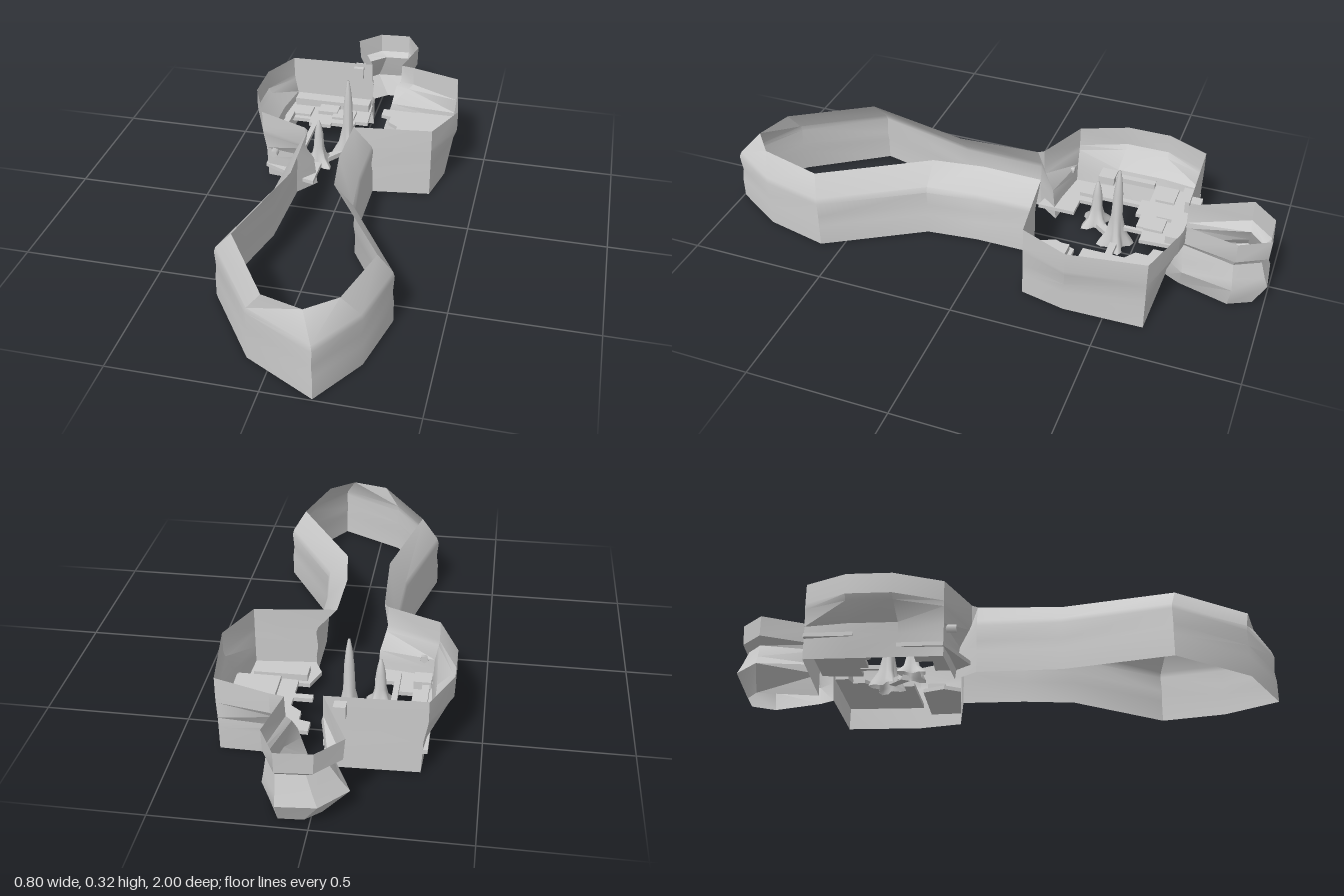
import * as THREE from 'three';
import { toCreasedNormals } from 'three/addons/utils/BufferGeometryUtils.js';

const material = new THREE.MeshStandardMaterial({ color: 0xcccccc, side: THREE.DoubleSide });

function add(group, name, geometry) {
  const mesh = new THREE.Mesh(geometry, material);
  mesh.name = name;
  group.add(mesh);
  return mesh;
}

// Canyon wall: closed loop of stations, each blended from a foot point to a rim point
const levels = [0, 0.08, 0.12, 0.18, 0.2, 0.275];
const corridor = [0, 0, 0.08, 0, 0.1, 1];
const chamber = [0, 0.18, 0.27, 0.85, 1, 1];
const alcove = [0, 1.2, 0.8, 0.3, 0.9, 1];

// Each row: foot x, foot z, rim x, rim z
const stretches = [
  [corridor, [
    [0.165, 0.995, 0.12, 0.92], [0.28, 0.81, 0.215, 0.84], [0.333, 0.58, 0.28, 0.605],
    [0.13, 0.24, 0.055, 0.24], [0.11, 0.055, 0.03, 0.055], [0.11, -0.17, 0.035, -0.165]]],
  [chamber, [
    [0.325, -0.2, 0.325, -0.2], [0.36, -0.36, 0.398, -0.37], [0.355, -0.64, 0.36, -0.64],
    [0.06, -0.645, 0.17, -0.7]]],
  [alcove, [
    [0.09, -0.7, 0.12, -0.71], [0.14, -0.88, 0.157, -0.89], [0.1, -0.96, 0.1, -0.995],
    [0.02, -0.955, -0.02, -0.985], [-0.03, -0.91, -0.1, -0.9], [0.01, -0.69, 0, -0.69]]],
  [chamber, [
    [-0.31, -0.68, -0.33, -0.68], [-0.31, -0.53, -0.4, -0.53], [-0.31, -0.35, -0.4, -0.37],
    [-0.31, -0.2, -0.33, -0.2], [-0.11, -0.18, -0.14, -0.12]]],
  [corridor, [
    [-0.17, -0.1, -0.125, -0.1], [-0.178, 0.2, -0.11, 0.2], [-0.27, 0.58, -0.2, 0.6],
    [-0.08, 0.86, -0.02, 0.88]]],
];

function wallGeometry() {
  const stations = stretches.flatMap(([profile, rows]) => rows.map((row) => [profile, row]));
  const positions = [], indices = [], n = levels.length;
  for (const [profile, [bx, bz, tx, tz]] of stations) {
    levels.forEach((y, k) => {
      const t = profile[k];
      positions.push(bx + (tx - bx) * t, y, bz + (tz - bz) * t);
    });
  }
  for (let i = 0; i < stations.length; i++) {
    const next = (i + 1) % stations.length;
    for (let k = 0; k < n - 1; k++) {
      const a = i * n + k, b = next * n + k;
      indices.push(a, b, b + 1, a, b + 1, a + 1);
    }
  }
  const geometry = new THREE.BufferGeometry();
  geometry.setAttribute('position', new THREE.Float32BufferAttribute(positions, 3));
  geometry.setIndex(indices);
  return toCreasedNormals(geometry, 0.5);
}

// Horizontal slab cut from an x/z outline, its top at the given height
function plate(group, name, outline, top, thickness = 0.015) {
  const shape = new THREE.Shape(outline.map(([x, z]) => new THREE.Vector2(x, -z)));
  const geometry = new THREE.ExtrudeGeometry(shape, { depth: thickness, bevelEnabled: false });
  geometry.rotateX(-Math.PI / 2).translate(0, top - thickness, 0);
  return add(group, name, geometry);
}

const rect = (x0, x1, z0, z1) => [[x0, z0], [x1, z0], [x1, z1], [x0, z1]];

// Rock spire with a star-shaped foot fading into a round needle
function spireGeometry(height) {
  const profile = [[0.05, 0], [0.045, 0.06], [0.03, 0.18], [0.021, 0.4], [0.017, 0.7], [0.011, 0.88], [0.004, 1], [0, 1]];
  const geometry = new THREE.LatheGeometry(profile.map(([r, y]) => new THREE.Vector2(r, y * height)), 20);
  const p = geometry.attributes.position;
  for (let i = 0; i < p.count; i++) {
    const angle = Math.atan2(p.getZ(i), p.getX(i));
    const fade = Math.max(0, 1 - p.getY(i) / (height * 0.4));
    const swell = 1 + 0.4 * fade * Math.cos(angle * 4);
    p.setX(i, p.getX(i) * swell);
    p.setZ(i, p.getZ(i) * swell);
  }
  geometry.computeVertexNormals();
  return geometry;
}

export function createModel() {
  const model = new THREE.Group();
  model.name = 'canyon';
  add(model, 'canyonWall', wallGeometry());

  // Left-hand chamber: stepped landing, walkways and small ledges
  const landing = new THREE.Group();
  landing.name = 'steppedLanding';
  model.add(landing);
  plate(landing, 'landingDeck', [
    [-0.33, -0.68], [0.005, -0.68], [0.015, -0.53], [-0.06, -0.53], [-0.06, -0.5],
    [-0.13, -0.5], [-0.13, -0.48], [-0.22, -0.48], [-0.22, -0.51], [-0.33, -0.51]], 0.09);
  plate(landing, 'landingRise', rect(-0.31, 0, -0.675, -0.62), 0.12, 0.03);
  plate(landing, 'landingStep', rect(-0.2, -0.12, -0.62, -0.56), 0.105);
  for (const x of [-0.27, -0.09]) plate(landing, 'landingPad', rect(x - 0.045, x + 0.045, -0.6, -0.53), 0.1);
  plate(model, 'outerWalkway', rect(-0.31, -0.285, -0.51, -0.35), 0.12, 0.02);
  plate(model, 'innerWalkway', rect(-0.205, -0.185, -0.5, -0.25), 0.09);
  plate(model, 'shortWalkway', rect(-0.05, -0.035, -0.53, -0.46), 0.09);
  plate(model, 'cornerLedge', [
    [-0.32, -0.36], [-0.25, -0.36], [-0.25, -0.31], [-0.19, -0.31], [-0.19, -0.25],
    [-0.11, -0.25], [-0.11, -0.11], [-0.15, -0.12], [-0.32, -0.2]], 0.05);
  plate(model, 'cornerBlock', rect(-0.315, -0.255, -0.36, -0.3), 0.13, 0.03);
  plate(model, 'rearBlock', rect(-0.075, -0.035, -0.725, -0.67), 0.26, 0.045);

  // Small pointed post on the outside of the left-hand front wall
  const pentagon = new THREE.CylinderGeometry(0.015, 0.015, 0.04, 5);
  pentagon.rotateX(-Math.PI / 2).rotateZ(Math.PI);
  const post = add(model, 'wallPost', pentagon);
  post.position.set(-0.278, 0.117, -0.18);

  // Right-hand chamber floors
  plate(model, 'mainFloor', [
    [0.06, -0.645], [0.355, -0.64], [0.36, -0.35], [0.14, -0.36], [0.14, -0.44],
    [0.075, -0.44], [0.075, -0.465], [0.14, -0.465], [0.14, -0.51], [0.1, -0.54],
    [0.1, -0.585], [0.06, -0.595]], 0.1);
  plate(model, 'raisedFloor', rect(0.2, 0.35, -0.62, -0.365), 0.115);
  plate(model, 'frontFloor', [
    [0.11, -0.32], [0.33, -0.315], [0.325, -0.2], [0.11, -0.18], [0.08, -0.24]], 0.06);
  plate(model, 'frontFloorRise', rect(0.12, 0.31, -0.305, -0.24), 0.085, 0.03);

  // Spires standing in the middle
  for (const [name, x, z, height, turn] of [
    ['tallSpire', -0.045, -0.43, 0.325, 0.4], ['shortSpire', -0.14, -0.33, 0.19, 0.9]]) {
    const spire = add(model, name, spireGeometry(height));
    spire.position.set(x, 0, z);
    spire.rotation.y = turn;
  }
  // Saddle of rock joining the two spires
  plate(model, 'spireSaddle', [[-0.12, -0.37], [-0.075, -0.42], [-0.06, -0.4], [-0.105, -0.34]], 0.02, 0.02);

  return model;
}
